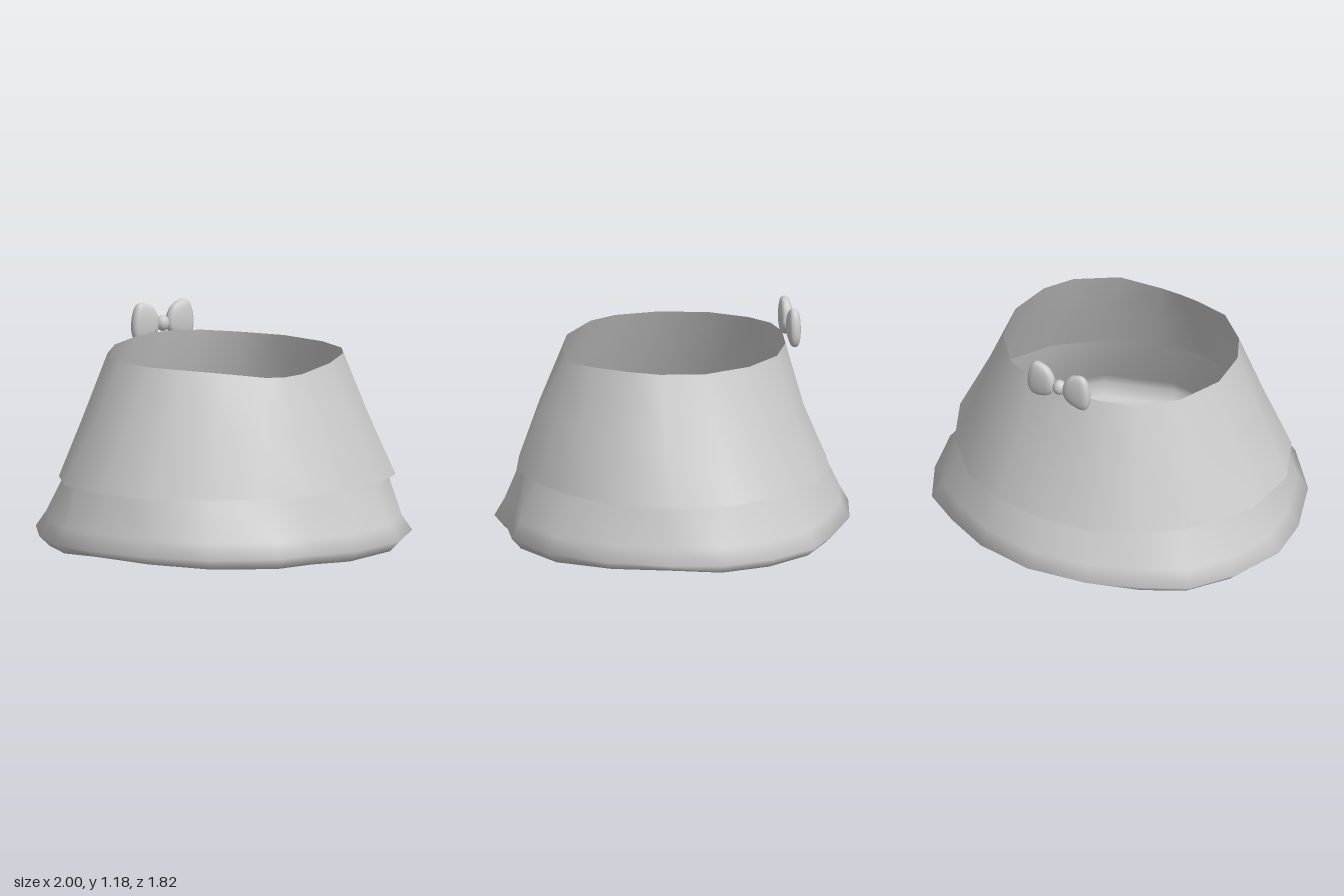
import * as THREE from 'three';

const grey = new THREE.MeshStandardMaterial({ color: 0xcccccc });
const cloth = new THREE.MeshStandardMaterial({ color: 0xcccccc, side: THREE.DoubleSide });

// Complete a half ring (back to front on the +x side) with its mirrored half
const mirrorRing = (half) => [
  ...half,
  ...half.slice(1, -1).reverse().map(([x, y, z]) => [-x, y, z]),
];

// Smooth wall through rings listed from bottom to top, with an optional closed bottom
function loft(name, rings, bottomCentre) {
  const n = rings[0].length, points = rings.flat(), index = [];
  for (let r = 0; r < rings.length - 1; r++) {
    for (let i = 0; i < n; i++) {
      const a = r * n + i, b = r * n + (i + 1) % n;
      index.push(a, a + n, b + n, a, b + n, b);
    }
  }
  if (bottomCentre) {
    points.push(bottomCentre);
    for (let i = 0; i < n; i++) index.push(points.length - 1, i, (i + 1) % n);
  }
  const geo = new THREE.BufferGeometry();
  geo.setAttribute('position', new THREE.Float32BufferAttribute(points.flat(), 3));
  geo.setIndex(index);
  geo.computeVertexNormals();
  const mesh = new THREE.Mesh(geo, cloth);
  mesh.name = name;
  return mesh;
}

// Height of the wavy underside edge for a depth z: [z, y] stations from back to front
const wave = [[-0.9, 0.1], [-0.8, 0.07], [-0.68, 0.04], [-0.35, 0.018], [-0.1, 0.018],
  [0.2, 0.034], [0.6, 0.02], [0.9, 0]];
function waveY(z) {
  const k = Math.max(1, wave.findIndex((s) => s[0] >= z));
  const [z0, y0] = wave[k - 1], [z1, y1] = wave[k];
  return y0 + (y1 - y0) * (z - z0) / (z1 - z0);
}

// Puffed bow loop: a squared-off sphere narrowed towards the knot
function bowLoop(side) {
  const geo = new THREE.SphereGeometry(1, 16, 12);
  const p = geo.attributes.position;
  const square = (v) => Math.sign(v) * Math.abs(v) ** 0.65;
  for (let i = 0; i < p.count; i++) {
    const x = square(p.getX(i)), y = p.getY(i), z = square(p.getZ(i));
    const flare = 0.86 + 0.18 * x;
    const lean = y < 0 ? 0.012 : -0.008; // lower corner reaches further out
    p.setXYZ(i, side * (x * 0.078 + lean * Math.abs(y) * x), y * flare * 0.112, side * z * 0.033);
  }
  geo.computeVertexNormals();
  const mesh = new THREE.Mesh(geo, grey);
  mesh.name = side > 0 ? 'leftBowLoop' : 'rightBowLoop';
  mesh.position.set(side * 0.106, 1.085, -0.6);
  return mesh;
}

export function createModel() {
  const model = new THREE.Group();
  model.name = 'layeredSkirt';

  // Lower layer: widest hem line, the rings next to it scaled from it
  const hem = mirrorRing([
    [0, 0.11, -0.91], [0.32, 0.105, -0.855], [0.58, 0.09, -0.72], [0.785, 0.08, -0.585],
    [0.92, 0.07, -0.34], [1, 0.07, -0.06], [0.96, 0.07, 0.2], [0.82, 0.07, 0.52],
    [0.58, 0.065, 0.78], [0.235, 0.06, 0.91], [0, 0.06, 0.89],
  ]);
  const underRing = (s, lift) =>
    hem.map(([x, , z]) => [x * s, waveY(z * s) + lift, z * s]);
  model.add(loft('lowerLayer', [
    underRing(0.45, 0.015),
    underRing(0.8, 0.01),
    underRing(0.945, 0),
    hem,
    hem.map(([x, y, z]) => [x * 0.94, y + 0.08, z * 0.95]),
    mirrorRing([
      [0, 0.46, -0.735], [0.25, 0.46, -0.705], [0.475, 0.46, -0.605], [0.63, 0.46, -0.455],
      [0.76, 0.46, -0.28], [0.825, 0.46, -0.08], [0.815, 0.46, 0.2], [0.685, 0.46, 0.44],
      [0.475, 0.46, 0.625], [0.22, 0.46, 0.725], [0, 0.46, 0.78],
    ]),
  ], [0, 0.042, 0]));

  // Upper layer: open at waist and hem
  model.add(loft('upperLayer', [
    mirrorRing([
      [0, 0.36, -0.79], [0.27, 0.36, -0.76], [0.52, 0.36, -0.65], [0.755, 0.36, -0.41],
      [0.89, 0.36, -0.14], [0.89, 0.36, 0.2], [0.75, 0.36, 0.47], [0.52, 0.36, 0.67],
      [0.28, 0.36, 0.77], [0, 0.36, 0.84],
    ]),
    mirrorRing([
      [0, 0.68, -0.655], [0.23, 0.68, -0.635], [0.445, 0.68, -0.545], [0.645, 0.68, -0.345],
      [0.745, 0.68, -0.08], [0.735, 0.68, 0.2], [0.62, 0.68, 0.41], [0.42, 0.68, 0.59],
      [0.19, 0.68, 0.68], [0, 0.68, 0.71],
    ]),
    mirrorRing([
      [0, 1.035, -0.56], [0.2, 1.025, -0.54], [0.38, 1.01, -0.46], [0.54, 1.003, -0.28],
      [0.62, 0.998, -0.03], [0.59, 1, 0.2], [0.505, 1, 0.35], [0.32, 0.985, 0.51],
      [0.11, 0.955, 0.575], [0, 0.95, 0.585],
    ]),
  ]));

  // Bow standing on the back of the waist
  const bow = new THREE.Group();
  bow.name = 'bow';
  const knot = new THREE.Mesh(new THREE.SphereGeometry(1, 12, 8), grey);
  knot.name = 'bowKnot';
  knot.scale.set(0.036, 0.042, 0.036);
  knot.position.set(0, 1.07, -0.597);
  bow.add(bowLoop(1), bowLoop(-1), knot);
  model.add(bow);

  return model;
}
